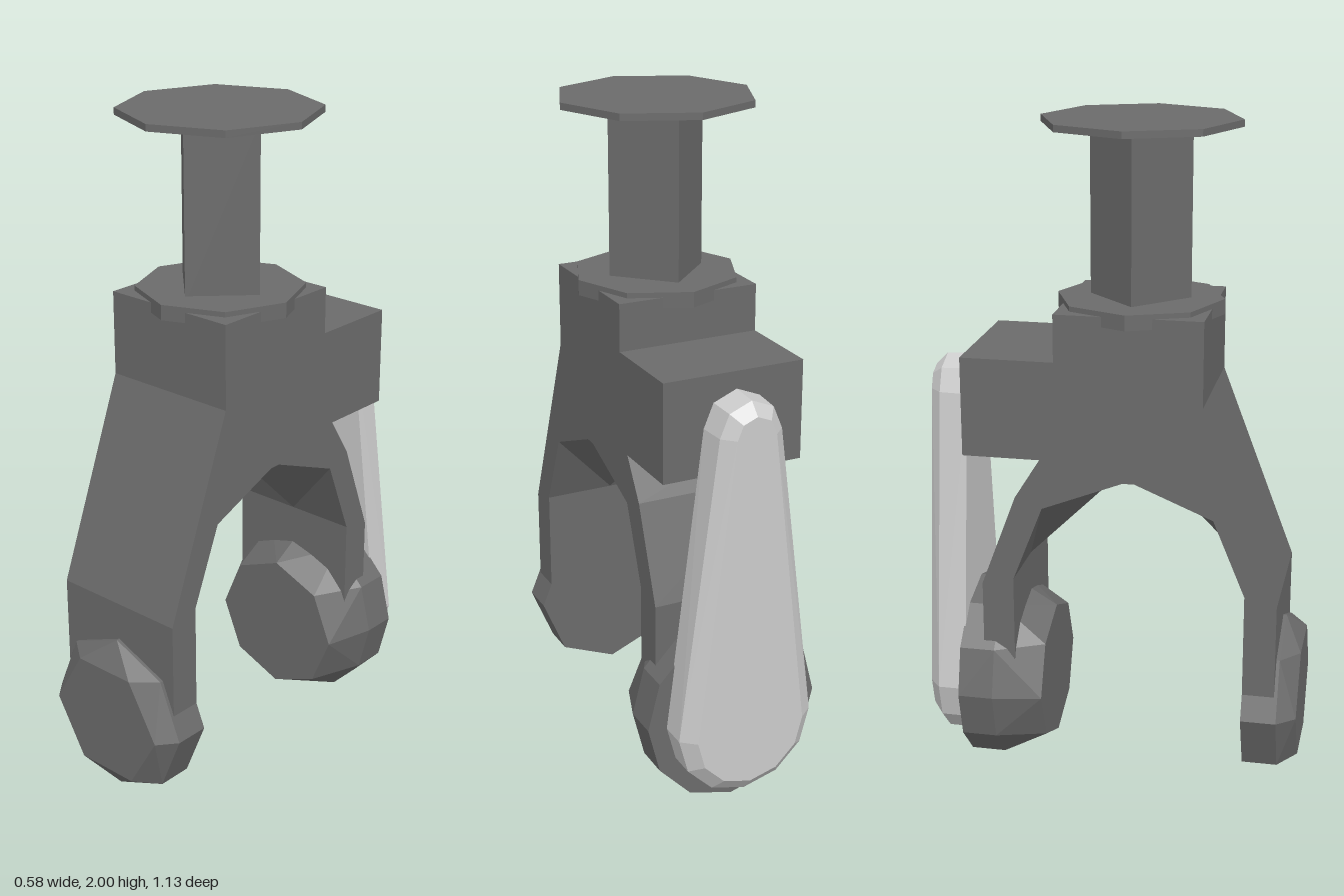
import * as THREE from 'three';
import { ConvexGeometry } from 'three/addons/geometries/ConvexGeometry.js';

const HALF = 0.215; // half width of the fork
const AXIS_Z = 0.057; // stem axis

const dark = new THREE.MeshStandardMaterial({ color: 0x6b6b6b, flatShading: true });
const light = new THREE.MeshStandardMaterial({ color: 0xcccccc, flatShading: true });

// Ring of points in a plane of constant z
function ring(n, rx, ry, cy, z, start = 0) {
  return Array.from({ length: n }, (_, i) => {
    const a = start + (i / n) * Math.PI * 2;
    return new THREE.Vector3(Math.cos(a) * rx, cy + Math.sin(a) * ry, z);
  });
}

// Tapered outline with a rounded wide bottom and narrow top
function leverOutline(rBottom, rTop, z) {
  const pts = [];
  for (let i = 0; i <= 6; i++) {
    const a = Math.PI + (i / 6) * Math.PI;
    pts.push(new THREE.Vector3(Math.cos(a) * rBottom, 0.28 + Math.sin(a) * rBottom, z));
  }
  for (let i = 0; i <= 4; i++) {
    const a = (i / 4) * Math.PI;
    pts.push(new THREE.Vector3(Math.cos(a) * rTop, 1.19 + Math.sin(a) * rTop, z));
  }
  return pts;
}

export function createModel() {
  const group = new THREE.Group();
  const add = (name, geometry, material = dark) => {
    const mesh = new THREE.Mesh(geometry, material);
    mesh.name = name;
    group.add(mesh);
    return mesh;
  };

  // Top plate, square stem and collar share one axis
  const turned = (name, radius, sides, y0, y1) => {
    const g = new THREE.CylinderGeometry(radius, radius, y1 - y0, sides);
    add(name, g.translate(0, (y0 + y1) / 2, AXIS_Z));
  };
  turned('topPlate', 0.29, 8, 1.98, 2);
  turned('stem', 0.148, 4, 1.47, 1.985);
  turned('collar', 0.245, 8, 1.445, 1.49);

  // Fork: side profile (z, y) extruded across the width
  const profile = [
    [0.275, 1.475], [-0.155, 1.475], [-0.155, 1.335], [-0.43, 1.335],
    [-0.43, 1.04], [-0.2, 1.04], [-0.275, 0.92], [-0.38, 0.64],
    [-0.38, 0.27], [-0.285, 0.27], [-0.285, 0.66], [-0.195, 0.89],
    [0.045, 0.985], [0.08, 0.985], [0.31, 0.89], [0.405, 0.66],
    [0.405, 0.27], [0.5, 0.27], [0.5, 0.635], [0.275, 1.225],
  ];
  const shape = new THREE.Shape(profile.map(([z, y]) => new THREE.Vector2(z, y)));
  const fork = new THREE.ExtrudeGeometry(shape, { depth: HALF * 2, bevelEnabled: false });
  add('fork', fork.rotateY(-Math.PI / 2).translate(HALF, 0, 0));

  // Ridged gussets in the corners of the arch
  for (const [name, zMid, zLow, zTop] of [
    ['frontGusset', 0.31, 0.405, 0.08],
    ['rearGusset', -0.195, -0.285, 0.045],
  ]) {
    add(name, new ConvexGeometry([
      new THREE.Vector3(HALF, 0.89, zMid),
      new THREE.Vector3(-HALF, 0.89, zMid),
      new THREE.Vector3(0, 0.66, zLow),
      new THREE.Vector3(0, 0.985, zTop),
    ]));
  }

  // Front foot: octagonal pad closing to a hexagonal face
  add('frontFoot', new ConvexGeometry([
    ...ring(8, 0.245, 0.245, 0.275, 0.405),
    ...ring(8, 0.245, 0.245, 0.275, 0.51),
    ...ring(6, 0.2, 0.195, 0.275, 0.565),
  ]));

  // Rear foot: wide shell narrowing to an inner pad
  add('rearFoot', new ConvexGeometry([
    ...ring(12, 0.272, 0.287, 0.287, -0.45),
    ...ring(12, 0.272, 0.287, 0.287, -0.345),
    ...ring(8, 0.22, 0.215, 0.275, -0.28),
    ...ring(8, 0.22, 0.215, 0.275, -0.205),
  ]));

  // Lever hanging behind the rear leg
  add('lever', new ConvexGeometry([
    ...leverOutline(0.213, 0.1, -0.445),
    ...leverOutline(0.213, 0.095, -0.53),
    ...leverOutline(0.17, 0.06, -0.565),
  ]), light);

  return group;
}
